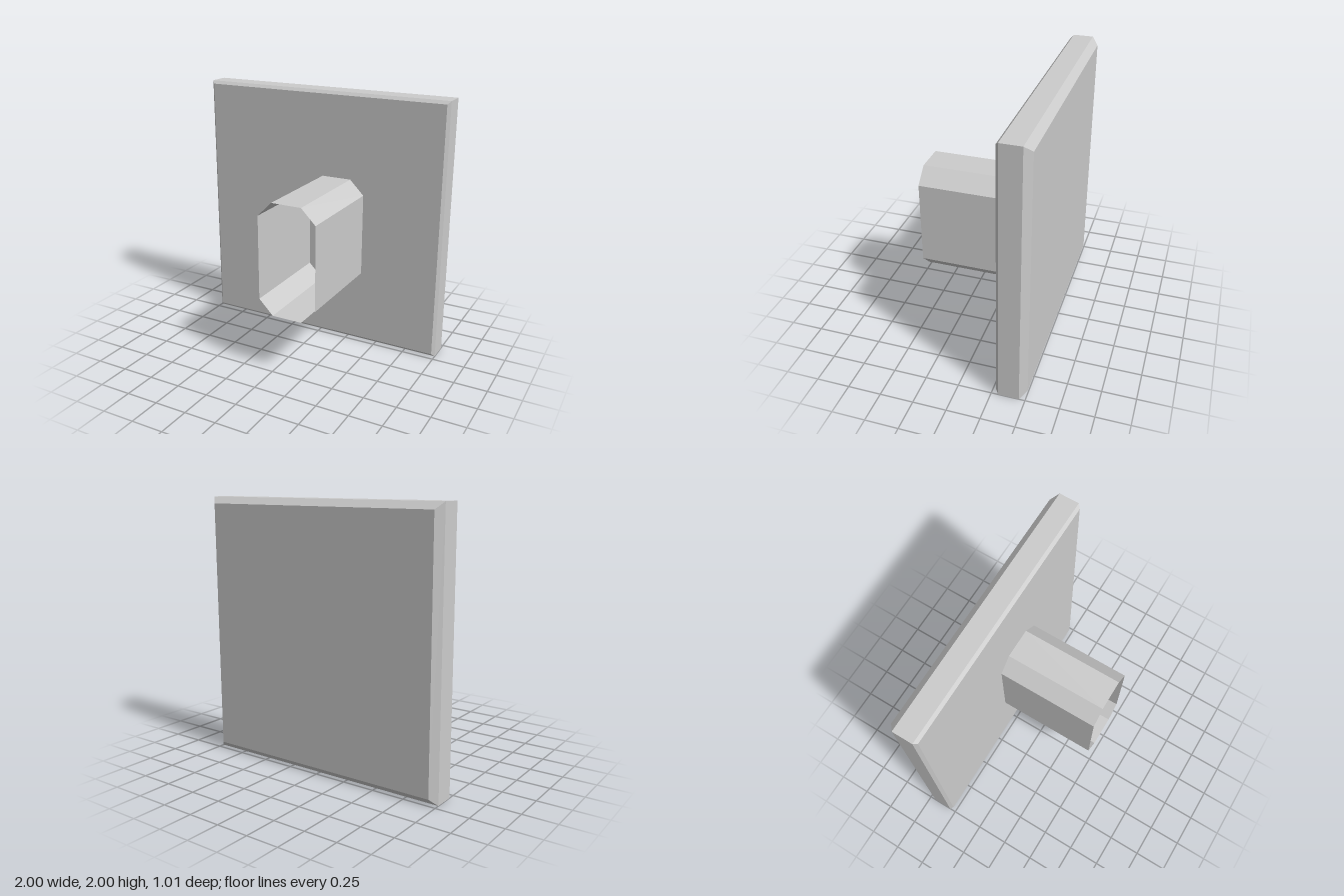
import * as THREE from 'three';

const BACK = -0.505, PLATE_FRONT = -0.28, FRONT = 0.505;

// Square plate as a four-sided lathe; profile is [half width, z] from back to front
function plateGeometry() {
  const profile = [[0, BACK], [0.95, BACK], [1, -0.455], [1, -0.302], [0.977, PLATE_FRONT], [0, PLATE_FRONT]];
  const points = profile.map(([half, z]) => new THREE.Vector2(half * Math.SQRT2, z));
  const geometry = new THREE.LatheGeometry(points, 4, Math.PI / 4).rotateX(Math.PI / 2).toNonIndexed();
  geometry.computeVertexNormals();
  return geometry;
}

// Open-ended thin sleeve: sweeps a closed outline (counter-clockwise) along z
function sleeveGeometry(outline, z0, z1) {
  const positions = [];
  outline.forEach(([ax, ay], i) => {
    const [bx, by] = outline[(i + 1) % outline.length];
    positions.push(ax, ay, z0, bx, by, z0, bx, by, z1);
    positions.push(ax, ay, z0, bx, by, z1, ax, ay, z1);
  });
  const geometry = new THREE.BufferGeometry();
  geometry.setAttribute('position', new THREE.Float32BufferAttribute(positions, 3));
  geometry.computeVertexNormals();
  return geometry;
}

export function createModel() {
  const group = new THREE.Group();
  group.name = 'plateWithSleeve';

  // Upright bevelled plate
  const plate = new THREE.Mesh(
    plateGeometry(),
    new THREE.MeshStandardMaterial({ color: 0xcccccc, flatShading: true })
  );
  plate.name = 'plate';
  plate.position.y = 1;
  group.add(plate);

  // Hollow eight-sided sleeve, offset to one side of the plate
  const [x0, x1, y0, y1, c] = [-0.097, 0.363, 0.472, 1.338, 0.112];
  const outline = [
    [x0 + c, y0], [x1 - c, y0], [x1, y0 + c], [x1, y1 - c],
    [x1 - c, y1], [x0 + c, y1], [x0, y1 - c], [x0, y0 + c],
  ];
  const sleeve = new THREE.Mesh(
    sleeveGeometry(outline, PLATE_FRONT, FRONT),
    new THREE.MeshStandardMaterial({ color: 0xcccccc, flatShading: true, side: THREE.DoubleSide })
  );
  sleeve.name = 'sleeve';
  group.add(sleeve);

  return group;
}
